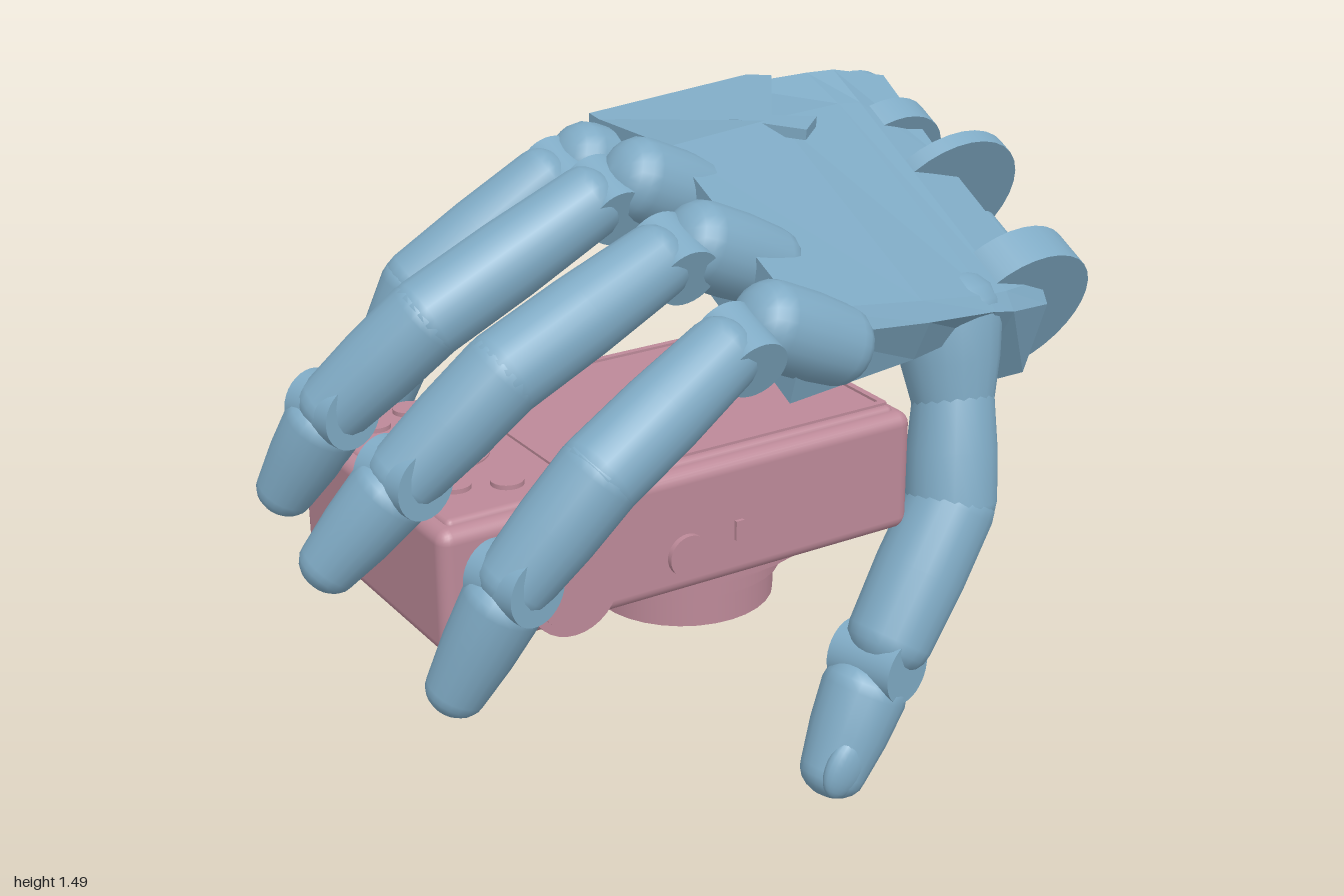
import * as THREE from 'three';
import { RoundedBoxGeometry } from 'three/addons/geometries/RoundedBoxGeometry.js';

const V = (a) => new THREE.Vector3(...a);
const UP = new THREE.Vector3(0, 1, 0);
const mat = (color) => new THREE.MeshStandardMaterial({ color });
const blue = mat(0x7faac4), pink = mat(0xbc8998), red = mat(0xb01010);

function add(parent, name, geometry, material, pos = [0, 0, 0]) {
  const mesh = new THREE.Mesh(geometry, material);
  mesh.name = name;
  mesh.position.set(...pos);
  parent.add(mesh);
  return mesh;
}

// Rounded, tapered rod from p to q
function limb(parent, name, p, q, r0, r1) {
  const a = V(p), b = V(q), len = a.distanceTo(b), pts = [];
  for (let i = 0; i <= 5; i++) {
    const t = (i / 5) * Math.PI / 2;
    pts.push(new THREE.Vector2(r0 * Math.sin(t), -r0 * 0.8 * Math.cos(t)));
  }
  pts.push(new THREE.Vector2(THREE.MathUtils.lerp(r0, r1, 0.5) * 1.04, len * 0.5));
  for (let i = 0; i <= 5; i++) {
    const t = (i / 5) * Math.PI / 2;
    pts.push(new THREE.Vector2(r1 * Math.cos(t), len + r1 * 0.8 * Math.sin(t)));
  }
  const mesh = add(parent, name, new THREE.LatheGeometry(pts, 20), blue, p);
  mesh.quaternion.setFromUnitVectors(UP, b.sub(a).normalize());
}

// Disc or pin lying along an axis
function pin(parent, name, pos, axis, r, width, material = blue) {
  const mesh = add(parent, name, new THREE.CylinderGeometry(r, r, width, 32), material, pos);
  mesh.quaternion.setFromUnitVectors(UP, V(axis).normalize());
}

// Solid skinned over cross-sections along x, each a ring of [z, y]
function loft(sections) {
  const rings = sections.map(([x, ring]) => ring.map(([z, y]) => [x, y, z]));
  const n = rings[0].length, out = [];
  const tri = (a, b, c) => out.push(...a, ...b, ...c);
  for (let i = 0; i < rings.length - 1; i++) {
    for (let j = 0; j < n; j++) {
      const k = (j + 1) % n, A = rings[i], B = rings[i + 1];
      tri(A[j], B[j], A[k]);
      tri(A[k], B[j], B[k]);
    }
  }
  const first = rings[0], last = rings[rings.length - 1];
  for (let j = 1; j < n - 1; j++) {
    tri(first[0], first[j], first[j + 1]);
    tri(last[0], last[j + 1], last[j]);
  }
  const g = new THREE.BufferGeometry();
  g.setAttribute('position', new THREE.Float32BufferAttribute(out, 3));
  g.computeVertexNormals();
  return g;
}

function buildCamera() {
  const cam = new THREE.Group();
  cam.name = 'compactCamera';
  const cx = -0.2, cz = -0.035;
  add(cam, 'cameraBody', new RoundedBoxGeometry(1.16, 0.28, 0.67, 3, 0.03), pink, [cx, 0.73, cz]);
  // Raised back panel with a framed screen
  add(cam, 'backPanel', new RoundedBoxGeometry(1.1, 0.04, 0.61, 2, 0.015), pink, [cx, 0.86, cz]);
  for (const s of [-1, 1]) {
    add(cam, 'screenFrameLong', new THREE.BoxGeometry(0.78, 0.012, 0.015), pink, [-0.05, 0.88, cz + s * 0.28]);
    add(cam, 'screenFrameShort', new THREE.BoxGeometry(0.015, 0.012, 0.56), pink, [-0.05 + s * 0.385, 0.88, cz]);
  }
  for (const [x, z, r] of [[-0.66, -0.24, 0.035], [-0.56, -0.28, 0.035], [-0.66, 0.13, 0.035],
    [-0.56, 0.17, 0.035], [-0.6, -0.04, 0.1], [-0.6, -0.04, 0.05]]) {
    pin(cam, 'backButton', [x, 0.875, z], [0, 1, 0], r, r > 0.06 ? 0.018 : 0.03, pink);
  }
  // Dials on the edge facing the front
  pin(cam, 'modeDial', [-0.49, 0.68, 0.295], [0, 0, 1], 0.105, 0.04, pink);
  pin(cam, 'modeDialCap', [-0.49, 0.68, 0.305], [0, 0, 1], 0.085, 0.04, pink);
  pin(cam, 'shutterButton', [-0.21, 0.68, 0.298], [0, 0, 1], 0.047, 0.03, pink);
  add(cam, 'powerSwitch', new THREE.BoxGeometry(0.02, 0.045, 0.02), pink, [-0.08, 0.705, 0.298]);
  // Stepped lens barrel pointing down
  for (const [r, y0, y1] of [[0.295, 0.565, 0.6], [0.245, 0.53, 0.57], [0.225, 0.49, 0.535], [0.207, 0.412, 0.5]]) {
    pin(cam, 'lensRing', [-0.01, (y0 + y1) / 2, cz], [0, 1, 0], r, y1 - y0, pink);
  }
  add(cam, 'lensWindow', new THREE.BoxGeometry(0.13, 0.01, 0.1), pink, [-0.01, 0.411, cz]);
  pin(cam, 'flashLamp', [-0.37, 0.59, 0.1], [0, 1, 0], 0.025, 0.02, pink);
  return cam;
}

function buildArrow() {
  const arrow = new THREE.Group();
  arrow.name = 'arrow';
  const tip = V([-0.35, 0.15, -0.445]), start = V([-0.2, 0.62, -0.1]);
  const dir = tip.clone().sub(start), len = dir.length();
  arrow.position.copy(start);
  arrow.quaternion.setFromUnitVectors(UP, dir.normalize());
  add(arrow, 'arrowShaft', new THREE.CylinderGeometry(0.03, 0.03, len - 0.14, 20), red, [0, (len - 0.14) / 2, 0]);
  add(arrow, 'arrowHead', new THREE.ConeGeometry(0.067, 0.15, 24), red, [0, len - 0.075, 0]);
  return arrow;
}

// Finger: knuckle sunk into the palm, two phalanges and a tip, with hinge pins between them
function finger(hand, name, path, r) {
  const g = new THREE.Group();
  g.name = name;
  hand.add(g);
  const [k, a, b, c, tip] = path;
  limb(g, 'knuckle', [k[0] + 0.16, k[1] - 0.095, k[2]], [k[0] - 0.01, k[1] - 0.015, k[2]], r * 0.95, r * 1.02);
  pin(g, 'knuckleHinge', [a[0] + 0.04, a[1], a[2]], [0, -0.4, 1], r * 0.75, r * 1.5);
  limb(g, 'firstPhalanx', a, b, r * 0.88, r * 0.98);
  limb(g, 'middlePhalanx', b, c, r * 0.98, r * 0.86);
  pin(g, 'tipHinge', c, [0.25, 0, 1], r * 0.78, r * 1.5);
  const d = V(tip).sub(V(c)), base = V(c).addScaledVector(d, 0.2).toArray();
  limb(g, 'fingertip', base, tip, r * 0.93, r * 0.7);
}

function buildHand() {
  const hand = new THREE.Group();
  hand.name = 'hand';
  // Palm: flat sloping back, widening into the deeper wrist block
  const palm = loft([
    [-0.03, [[0.46, 1.18], [0.43, 1.23], [-0.05, 1.45], [-0.34, 1.44], [-0.38, 1.4], [-0.39, 1.25], [0, 1.22], [0.41, 1.02]]],
    [0.35, [[0.38, 1.11], [0.35, 1.15], [-0.2, 1.42], [-0.41, 1.445], [-0.45, 1.42], [-0.47, 1.22], [-0.05, 1.18], [0.33, 1.01]]],
    [0.58, [[0.32, 1.07], [0.29, 1.1], [-0.28, 1.4], [-0.41, 1.445], [-0.45, 1.43], [-0.51, 1.19], [-0.16, 1.08], [0.25, 1.0]]],
    [0.65, [[0.3, 1.05], [0.27, 1.09], [-0.29, 1.39], [-0.4, 1.445], [-0.44, 1.43], [-0.55, 1.13], [-0.18, 0.98], [0.17, 0.83]]],
    [0.8, [[0.24, 1.02], [0.21, 1.07], [-0.15, 1.26], [-0.4, 1.41], [-0.43, 1.39], [-0.53, 1.13], [-0.18, 0.98], [0.17, 0.83]]],
  ]);
  add(hand, 'palm', palm, blue);

  // Thin plate with a hooked tongue overlapping the back of the hand
  const outline = [[-0.03, -0.39], [0.44, -0.46], [0.49, -0.43], [0.34, -0.21], [0.43, -0.16], [0.36, -0.1], [0.25, -0.22], [-0.03, -0.3]];
  const shape = new THREE.Shape(outline.map(([x, z]) => new THREE.Vector2(x, -z)));
  const plate = add(hand, 'backPlate', new THREE.ExtrudeGeometry(shape, { depth: 0.025, bevelEnabled: false }), blue, [0, 1.38, 0]);
  plate.rotation.x = -Math.PI / 2 + 0.1;

  // Wrist hinge lugs spaced along the tilted wrist axis
  const axis = [0, 0.45, -0.89];
  for (const [t, x, r, w, drop] of [[-0.32, 0.765, 0.185, 0.1, 0], [0.02, 0.795, 0.2, 0.04, 0],
    [0.2, 0.735, 0.15, 0.07, 0], [0.34, 0.73, 0.135, 0.09, 0.02]]) {
    pin(hand, 'wristLug', [x, 1.15 + axis[1] * t - drop, -0.14 + axis[2] * t - drop / 2], axis, r, w);
  }
  pin(hand, 'wristPin', [0.855, 1.06, -0.04], axis, 0.06, 0.14);

  finger(hand, 'indexFinger', [[-0.06, 1.21, 0.39], [-0.2, 1.17, 0.42], [-0.52, 1.0, 0.47], [-0.69, 0.8, 0.43], [-0.79, 0.56, 0.36]], 0.091);
  finger(hand, 'middleFinger', [[-0.1, 1.33, 0.19], [-0.22, 1.3, 0.2], [-0.6, 1.15, 0.24], [-0.8, 0.96, 0.19], [-0.94, 0.775, 0.12]], 0.091);
  finger(hand, 'ringFinger', [[-0.11, 1.41, -0.035], [-0.23, 1.36, -0.05], [-0.61, 1.17, -0.07], [-0.79, 0.98, -0.16], [-0.87, 0.78, -0.25]], 0.091);
  finger(hand, 'littleFinger', [[-0.09, 1.38, -0.3], [-0.2, 1.34, -0.29], [-0.48, 1.13, -0.36], [-0.59, 0.8, -0.44], [-0.6, 0.58, -0.48]], 0.088);

  // Thumb: flared root, narrow shaft, thicker elbow
  const thumb = new THREE.Group();
  thumb.name = 'thumb';
  hand.add(thumb);
  limb(thumb, 'thumbRoot', [0.54, 1.04, 0.2], [0.53, 0.84, 0.25], 0.125, 0.092);
  limb(thumb, 'thumbBase', [0.53, 0.86, 0.25], [0.495, 0.63, 0.3], 0.092, 0.105);
  limb(thumb, 'thumbPhalanx', [0.49, 0.62, 0.305], [0.31, 0.35, 0.335], 0.104, 0.1);
  pin(thumb, 'thumbHinge', [0.275, 0.3, 0.335], [0.3, 0, 1], 0.075, 0.17);
  limb(thumb, 'thumbTip', [0.24, 0.23, 0.335], [0.145, 0.065, 0.355], 0.1, 0.077);
  const nail = add(thumb, 'thumbNail', new THREE.SphereGeometry(0.06, 20, 14), blue, [0.145, 0.1, 0.405]);
  nail.scale.set(0.9, 1.3, 0.5);
  nail.rotation.z = -0.5;
  return hand;
}

export function createModel() {
  const model = new THREE.Group();
  model.name = 'handWithCamera';
  model.add(buildHand(), buildCamera(), buildArrow());
  return model;
}
